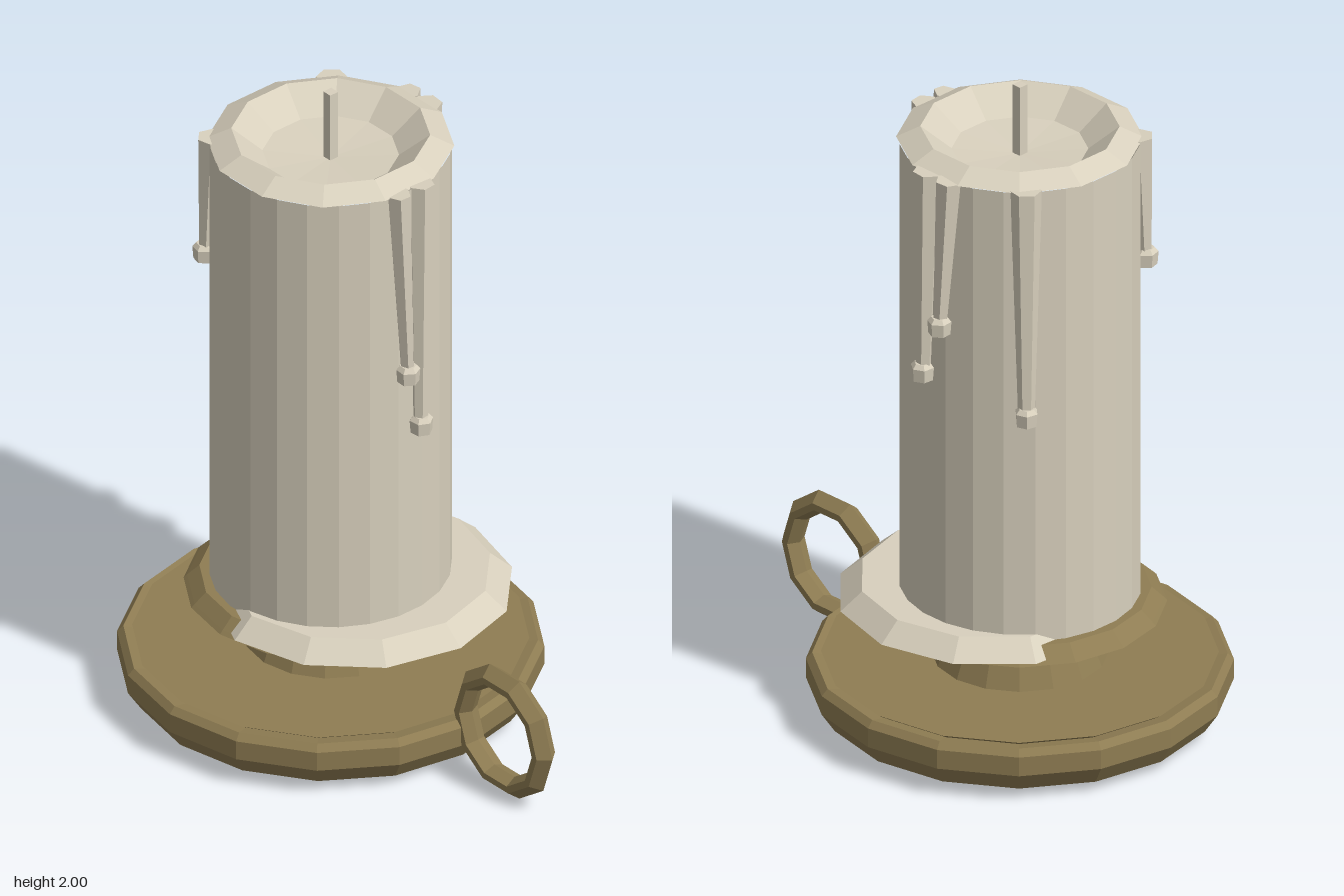
import * as THREE from 'three';

const AXIS_X = -0.175; // candle and saucer axis

export function createModel() {
  const model = new THREE.Group();
  const wax = new THREE.MeshStandardMaterial({ color: 0xd8d0bd, flatShading: true });
  wax.name = 'wax';
  const brass = new THREE.MeshStandardMaterial({ color: 0x8f7d53, flatShading: true });
  brass.name = 'brass';

  const add = (name, geometry, material, x = AXIS_X, y = 0, z = 0, parent = model) => {
    const mesh = new THREE.Mesh(geometry, material);
    mesh.name = name;
    mesh.position.set(x, y, z);
    parent.add(mesh);
    return mesh;
  };
  const lathe = (points, sides, start = 0) =>
    new THREE.LatheGeometry(points.map(p => new THREE.Vector2(...p)), sides, start);

  // Saucer with a thin raised plate
  add('saucer', lathe([[0, 0.035], [0.57, 0.035], [0.61, 0.095], [0.61, 0.155], [0.592, 0.175],
    [0.545, 0.165], [0.567, 0.18], [0, 0.18]], 16), brass);

  // Stem flaring into the candle cup
  add('stem', lathe([[0.255, 0.175], [0.22, 0.262]], 16), brass);
  add('cup', lathe([[0, 0.26], [0.22, 0.26], [0.42, 0.345], [0.41, 0.355], [0.375, 0.388], [0, 0.388]], 16), brass);

  // Finger ring
  const ring = lathe([[0.14, 0], [0.157, -0.035], [0.178, -0.035], [0.207, 0],
    [0.178, 0.035], [0.157, 0.035], [0.14, 0]], 10, Math.PI / 2);
  ring.rotateX(Math.PI / 2);
  add('handle', ring, brass, 0.575, 0.2);

  // Melted wax pool, off centre and drawn in on the front left
  const pool = lathe([[0, 0.356], [0.456, 0.356], [0.392, 0.412], [0, 0.412]], 12);
  const pos = pool.attributes.position;
  for (let i = 0; i < pos.count; i++) {
    const x = pos.getX(i), z = pos.getZ(i);
    const angle = Math.atan2(z, x);
    const pull = angle > 1.9 || angle < -3 ? 0.9 : 1;
    pos.setX(i, x * pull);
    pos.setZ(i, z * pull);
  }
  add('waxPool', pool, wax, -0.11, 0, -0.035);

  // Candle body, bevelled rim and hollow top
  add('candle', lathe([[0.346, 0.38], [0.346, 1.832]], 24, Math.PI / 24), wax);
  add('rim', lathe([[0.353, 1.832], [0.284, 1.866], [0.195, 1.795], [0, 1.78]], 12, Math.PI / 12), wax);
  add('wick', new THREE.BoxGeometry(0.03, 0.23, 0.03), wax, AXIS_X, 1.885);

  // Wax drips: [angle from +z towards +x, angle at the tip, tip height, top width]
  const drips = [
    [-0.78, -0.78, 1.41, 0.085],
    [1.45, 1.51, 1.19, 0.07],
    [1.7, 1.65, 1.0, 0.08],
    [3.05, 3.05, 1.16, 0.09],
    [3.3, 3.24, 1.33, 0.08],
    [-2.3, -2.3, 1.08, 0.09],
  ];
  const onSide = (angle, y, r) =>
    new THREE.Vector3(Math.sin(angle) * r, y, Math.cos(angle) * r);
  const topY = 1.835;
  for (const [angle, tipAngle, tipY, width] of drips) {
    const drip = new THREE.Group();
    drip.name = 'drip';
    drip.position.x = AXIS_X;
    model.add(drip);

    const neckY = tipY + 0.055;
    const top = onSide(angle, topY, 0.34);
    const end = onSide(tipAngle, neckY, 0.355);
    const run = new THREE.CylinderGeometry(0.5, 0.27, 1, 6);
    run.rotateY(Math.PI / 6);
    run.scale(width, top.distanceTo(end), 0.085);
    const mid = top.clone().add(end).multiplyScalar(0.5);
    const strip = add('dripRun', run, wax, mid.x, mid.y, mid.z, drip);
    const up = top.clone().sub(end).normalize();
    const out = onSide((angle + tipAngle) / 2, 0, 1);
    const side = up.clone().cross(out).normalize();
    strip.quaternion.setFromRotationMatrix(
      new THREE.Matrix4().makeBasis(side, up, side.clone().cross(up)));

    // Bead at the tip
    const bead = lathe([[0, 0], [0.032, 0.015], [0.035, 0.055], [0.024, 0.068], [0, 0.068]], 6);
    const p = onSide(tipAngle, tipY, 0.36);
    add('dripBead', bead, wax, p.x, p.y, p.z, drip).rotation.y = tipAngle;
  }
  return model;
}
